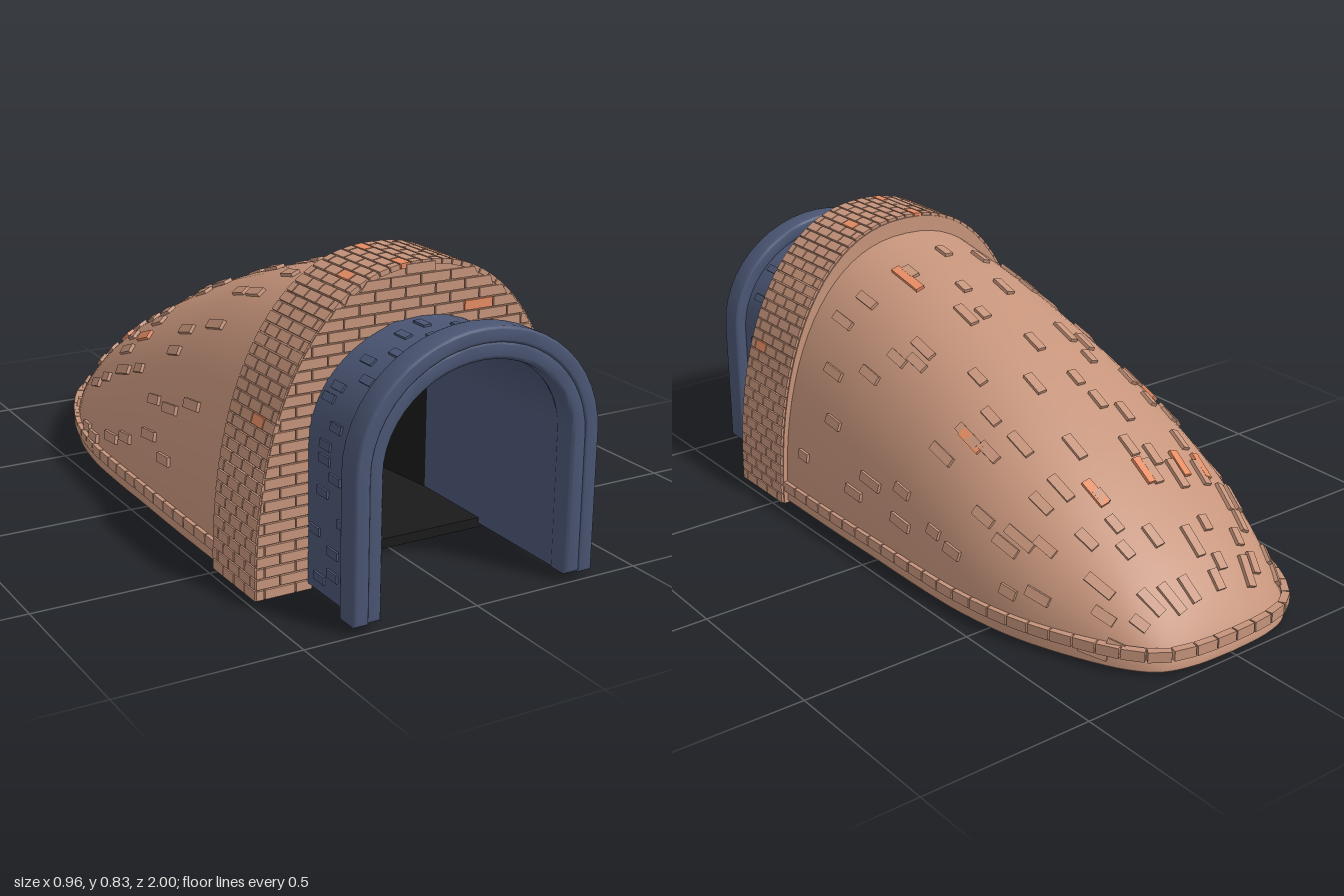
import * as THREE from 'three';
import { mergeGeometries, toCreasedNormals } from 'three/addons/utils/BufferGeometryUtils.js';

const V2 = (x, y) => new THREE.Vector2(x, y);
const V3 = (x, y, z) => new THREE.Vector3(x, y, z);
const SPRING = 0.4, POWER = 2.27;

// seeded random numbers
let seed = 11;
const rand = () => (seed = (seed * 16807) % 2147483647) / 2147483647;

// bulging vault outline, t = 0 (left foot) .. 1 (right foot)
function vault(t, w, h) {
  const c = Math.cos(t * Math.PI), s = Math.max(0, Math.sin(t * Math.PI));
  return V2(w * Math.sign(c) * Math.abs(c) ** (2 / POWER), h * s ** (2 / POWER));
}
const vaultPoints = (w, h, n = 40) => Array.from({ length: n + 1 }, (_, i) => vault(i / n, w, h));

// round arch on legs that may splay out to the foot
function archPoints(r, top, base, foot = r, spring = SPRING, n = 24) {
  const pts = [V2(foot, base)];
  for (let i = 0; i <= n; i++) {
    const a = (i / n) * Math.PI;
    pts.push(V2(r * Math.cos(a), spring + (top - spring) * Math.sin(a)));
  }
  pts.push(V2(-foot, base));
  return pts;
}

// extruded band between two outlines
function band(outer, inner, z0, z1, bevel = 0) {
  const geo = new THREE.ExtrudeGeometry(new THREE.Shape([...outer, ...inner.slice().reverse()]), {
    depth: z1 - z0 - 2 * bevel, bevelEnabled: bevel > 0, bevelSize: bevel,
    bevelThickness: bevel, bevelOffset: -bevel, bevelSegments: 3,
  });
  geo.translate(0, 0, z0 + bevel);
  return toCreasedNormals(geo, 0.6);
}

// smooth skin through rows of points
function loft(rows) {
  const m = rows[0].length, pos = [], idx = [];
  rows.forEach((row, j) => row.forEach((p, i) => {
    pos.push(p.x, p.y, p.z);
    if (j && i) {
      const a = (j - 1) * m + i - 1, b = a + 1, c = a + m, d = c + 1;
      idx.push(a, b, c, b, d, c);
    }
  }));
  const geo = new THREE.BufferGeometry();
  geo.setAttribute('position', new THREE.Float32BufferAttribute(pos, 3));
  geo.setIndex(idx);
  geo.computeVertexNormals();
  return geo;
}

// box with its length along one direction and its thickness along a normal
function slab(length, thick, width, pos, along, normal) {
  const x = along.clone().normalize();
  const z = x.clone().cross(normal).normalize();
  const y = z.clone().cross(x);
  const m = new THREE.Matrix4().makeBasis(x, y, z).setPosition(pos);
  return new THREE.BoxGeometry(length, thick, width).toNonIndexed().applyMatrix4(m);
}

export function createModel() {
  const group = new THREE.Group();
  const material = (name, color) => {
    const m = new THREE.MeshStandardMaterial({ color, side: THREE.DoubleSide });
    m.name = name;
    return m;
  };
  const brick = material('brick', 0xc6947b);
  const orange = material('orange brick', 0xe68d64);
  const blue = material('blue', 0x4b5674);
  const black = material('black', 0x1a1a1a);
  const grey = material('dark grey', 0x2a2a2a);
  const add = (name, geo, mat) => {
    const mesh = new THREE.Mesh(geo, mat);
    mesh.name = name;
    group.add(mesh);
  };
  const addBricks = (name, plain, bright) => {
    add(name, mergeGeometries(plain), brick);
    add(name + 'Orange', mergeGeometries(bright), orange);
  };

  // dome: (half width, height, z) from the portal to the tail
  const spine = new THREE.CatmullRomCurve3([
    [0.46, 0.775, 0.48], [0.46, 0.717, 0.2], [0.457, 0.655, 0], [0.455, 0.58, -0.2],
    [0.445, 0.485, -0.4], [0.408, 0.372, -0.6], [0.33, 0.235, -0.8], [0.272, 0.147, -0.9],
    [0.212, 0.08, -0.955], [0.12, 0.035, -0.981], [0, 0.008, -0.988],
  ].map((p) => V3(...p)));
  const dome = (u, t) => {
    const s = spine.getPoint(u), p = vault(t, s.x, s.y);
    return V3(p.x, Math.max(p.y, 0.008), s.z);
  };
  const rows = [];
  for (let j = 0; j <= 50; j++) {
    rows.push(Array.from({ length: 41 }, (_, i) => dome(j / 50, i / 40)));
  }
  add('domeShell', loft(rows), brick);

  // flat underside
  const half = spine.getPoints(50);
  const outline = [V2(0.46, 0.59), ...half.map((p) => V2(p.x, p.z)),
    ...half.slice(0, -1).reverse().map((p) => V2(-p.x, p.z)), V2(-0.46, 0.59)];
  const under = new THREE.ShapeGeometry(new THREE.Shape(outline));
  under.rotateX(Math.PI / 2).translate(0, 0.007, 0);
  add('underside', under, brick);

  // scattered bricks lying along the dome
  const domeBrick = (u, t, length) => {
    const p = dome(u, t), along = dome(u + 0.01, t).sub(p);
    const normal = along.clone().cross(dome(u, t + 0.01).sub(p)).normalize();
    return slab(length, 0.018, 0.027, p, along, normal);
  };
  const loose = [];
  for (let j = 0; j < 10; j++) {
    for (let i = 0; i < 13; i++) {
      const u = 0.03 + (j + 0.1 + rand() * 0.8) * 0.066;
      const t = 0.035 + (i + 0.1 + rand() * 0.8) * 0.0715;
      if (rand() < 0.8) loose.push(domeBrick(u, t, 0.045 + rand() * 0.05));
    }
  }
  // orange ones at (x, z)
  const brightLoose = [[-0.23, -0.6], [-0.15, -0.6], [-0.02, -0.6], [0.15, -0.6],
    [0.14, 0.27], [-0.32, -0.27], [0.31, -0.27]].map(([x, z]) => {
    const u = z > 0.2 ? 0.1 * (0.48 - z) / 0.28 : 0.1 + (0.2 - z) / 2;
    const c = Math.sign(x) * Math.abs(x / spine.getPoint(u).x) ** (POWER / 2);
    return domeBrick(u, Math.acos(c) / Math.PI, z > 0 ? 0.13 : 0.085);
  });
  addBricks('domeBricks', loose, brightLoose);

  // row of bricks round the rim
  const rim = new THREE.CatmullRomCurve3(outline.slice(1, -1).map((p) => V3(p.x, 0.057, p.y)));
  const rimBricks = [];
  for (let i = 0; i < 52; i++) {
    const k = (i + 0.5) / 52, dir = rim.getTangentAt(k);
    rimBricks.push(slab(0.062, 0.022, 0.03, rim.getPointAt(k), dir, V3(-dir.z, 0, dir.x)));
  }
  add('rimBricks', mergeGeometries(rimBricks), brick);

  // brick portal: core, face courses and outer courses
  const opening = archPoints(0.315, 0.68, 0);
  add('portalCore', band(vaultPoints(0.473, 0.822), opening, 0.475, 0.708), brick);
  const outerX = (y) => 0.476 * Math.max(0, 1 - (y / 0.826) ** POWER) ** (1 / POWER);
  const innerX = (y) => (y < SPRING ? 0.315
    : 0.315 * Math.sqrt(Math.max(0, 1 - ((y - SPRING) / 0.28) ** 2)));
  const face = [], brightFace = [], pitch = 0.0295, gap = 0.004;
  for (let r = 0; r < 28; r++) {
    const y0 = r * pitch + 0.002, y1 = Math.min(y0 + pitch - gap, 0.825);
    for (let k = -6; k < 6; k++) {
      const a = (k + (r % 2) / 2) * 0.09, b = a + 0.09 - gap;
      for (const side of [-1, 1]) {
        // clip each brick between the opening and the outer edge
        const lo = (y) => side < 0 ? -outerX(y) : innerX(y);
        const hi = (y) => side < 0 ? -innerX(y) : outerX(y);
        const clip = (x, y) => Math.min(Math.max(x, lo(y)), hi(y));
        const q = [V2(clip(a, y0), y0), V2(clip(b, y0), y0), V2(clip(b, y1), y1), V2(clip(a, y1), y1)];
        if (q[1].x - q[0].x < 0.008 || q[2].x - q[3].x < 0.004) continue;
        const g = new THREE.ExtrudeGeometry(new THREE.Shape(q), { depth: 0.009, bevelEnabled: false });
        (r === 23 && k === 1 ? brightFace : face).push(g.translate(0, 0, 0.706));
      }
    }
  }
  addBricks('portalFaceBricks', face, brightFace);

  const edge = new THREE.CatmullRomCurve3(vaultPoints(0.473, 0.823, 60).map((p) => V3(p.x, p.y, 0)));
  const courses = [], brightCourses = [], count = 68, step = edge.getLength() / count;
  const bright = ['14,4', '53,3', '39,3', '35,1', '35,4', '29,2'];
  for (let i = 0; i < count; i++) {
    const p = edge.getPointAt((i + 0.5) / count), d = edge.getTangentAt((i + 0.5) / count);
    const normal = V3(d.y, -d.x, 0);
    const cuts = i % 2 ? [0.477, 0.537, 0.597, 0.657, 0.714] : [0.477, 0.507, 0.567, 0.627, 0.687, 0.714];
    for (let k = 1; k < cuts.length; k++) {
      const z = (cuts[k] + cuts[k - 1]) / 2;
      (bright.includes(`${i},${k}`) ? brightCourses : courses).push(
        slab(cuts[k] - cuts[k - 1] - gap, 0.014, step - gap, V3(p.x, p.y, z), V3(0, 0, 1), normal));
    }
  }
  addBricks('portalOuterBricks', courses, brightCourses);

  // blue entrance sleeve, its lining deep inside, and the rounded collar
  const DEEP = 0.33, BACK = -0.3;
  const inner = archPoints(0.283, 0.643, 0.02);
  add('entranceSleeve', band(archPoints(0.326, 0.685, 0.02), inner, 0.7, 0.95), blue);
  add('sleeveLining', band(archPoints(0.295, 0.655, 0.02), inner, DEEP, 0.7), blue);
  add('collarOuter', band(archPoints(0.36, 0.727, 0.02), archPoints(0.318, 0.685, 0.02), 0.925, 1, 0.008), blue);
  add('collarInner', band(archPoints(0.326, 0.692, 0.02), archPoints(0.279, 0.641, 0.02), 0.925, 0.996, 0.012), blue);

  // low blue bricks on the sleeve
  const sleeve = new THREE.CatmullRomCurve3(
    archPoints(0.326, 0.685, 0.03).map((p) => V3(p.x, p.y, 0)), false, 'catmullrom', 0);
  const plates = [];
  for (let i = 0; i < 36; i++) {
    const k = (i + 0.2 + rand() * 0.6) / 36;
    const p = sleeve.getPointAt(k), d = sleeve.getTangentAt(k);
    p.z = 0.75 + rand() * 0.14;
    plates.push(slab(0.05, 0.012, 0.022, p, V3(0, 0, 1), V3(d.y, -d.x, 0)));
  }
  add('sleeveBricks', mergeGeometries(plates), blue);

  // dark tunnel narrowing to a grey end wall
  const end = archPoints(0.175, 0.43, 0.03, 0.208, 0.305);
  add('tunnelWall', loft([0, 0.25, 0.5, 0.75, 1].map((f) => inner.map((p, i) => {
    const q = p.clone().lerp(end[i], f);
    return V3(q.x, q.y, DEEP + (BACK - DEEP) * f);
  }))), black);
  const wall = new THREE.ShapeGeometry(new THREE.Shape(end));
  add('endWall', wall.translate(0, 0, BACK + 0.002), grey);
  const floor = new THREE.BoxGeometry(0.62, 0.028, 0.6 - BACK);
  add('tunnelFloor', floor.translate(0, 0.022, (0.6 + BACK) / 2), black);

  return group;
}
